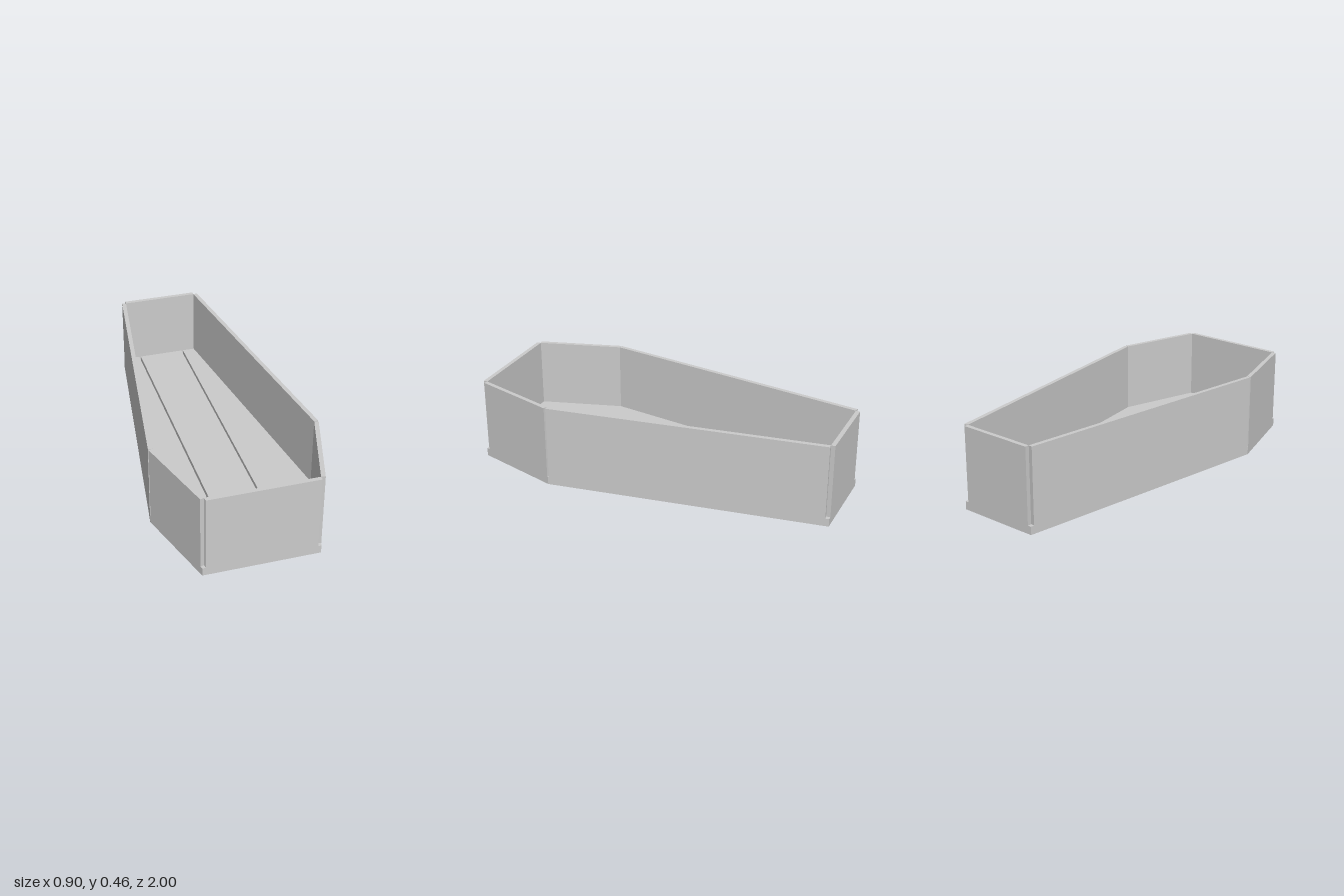
import * as THREE from 'three';

const BASE = 0.045;    // base slab height
const TOP = 0.46;      // rim height
const FLOOR = 0.075;   // top of the floor planks
const T = 0.023;       // wall thickness

// Outline as [x, z], running around the six corners
const half = [[0.31, 1], [0.452, 0.525], [0.23, -1]];
const outline = [...half, ...half.map(([x, z]) => [-x, z]).reverse()];

const material = new THREE.MeshStandardMaterial({ color: 0xcccccc, flatShading: true });

// Upright prism from an [x, z] outline between two heights
function prism(name, points, y0, y1) {
  const shape = new THREE.Shape(points.map(([x, z]) => new THREE.Vector2(x, -z)));
  const geometry = new THREE.ExtrudeGeometry(shape, { depth: y1 - y0, bevelEnabled: false });
  geometry.rotateX(-Math.PI / 2).translate(0, y0, 0);
  const mesh = new THREE.Mesh(geometry, material);
  mesh.name = name;
  return mesh;
}

// Unit outward normal of the edge a-b
function outward(a, b) {
  const dx = b[0] - a[0], dz = b[1] - a[1], l = Math.hypot(dx, dz);
  return [-dz / l, dx / l];
}

// Outline moved inward by d, with mitred corners
function inset(points, d) {
  return points.map((p, i) => {
    const n = points.length;
    const m = outward(points[(i + n - 1) % n], p);
    const k = outward(p, points[(i + 1) % n]);
    const s = d / (1 + m[0] * k[0] + m[1] * k[1]);
    return [p[0] - s * (m[0] + k[0]), p[1] - s * (m[1] + k[1])];
  });
}

export function createModel() {
  const group = new THREE.Group();
  group.name = 'openCoffin';

  group.add(prism('base', outline, 0, BASE));

  // Square-ended wall boards: inner edges meet, leaving wedge gaps outside
  const inner = inset(outline, T);
  const names = ['leftFrontWall', 'leftLongWall', 'backWall', 'rightLongWall', 'rightFrontWall', 'frontWall'];
  names.forEach((name, i) => {
    const a = inner[i], b = inner[(i + 1) % 6];
    const [nx, nz] = outward(a, b);
    const board = [a, b, [b[0] + nx * T, b[1] + nz * T], [a[0] + nx * T, a[1] + nz * T]];
    group.add(prism(name, board, BASE, TOP));
  });

  // Three floor planks with narrow gaps between them
  const end = 1 - T;
  group.add(prism('middlePlank', [[-0.13, end], [0.13, end], [0.13, -end], [-0.13, -end]], BASE, FLOOR));
  for (const s of [1, -1]) {
    const plank = [[0.14, end], ...inner.slice(0, 3), [0.14, -end]].map(([x, z]) => [s * x, z]);
    group.add(prism(s > 0 ? 'leftPlank' : 'rightPlank', plank, BASE, FLOOR));
  }
  return group;
}
